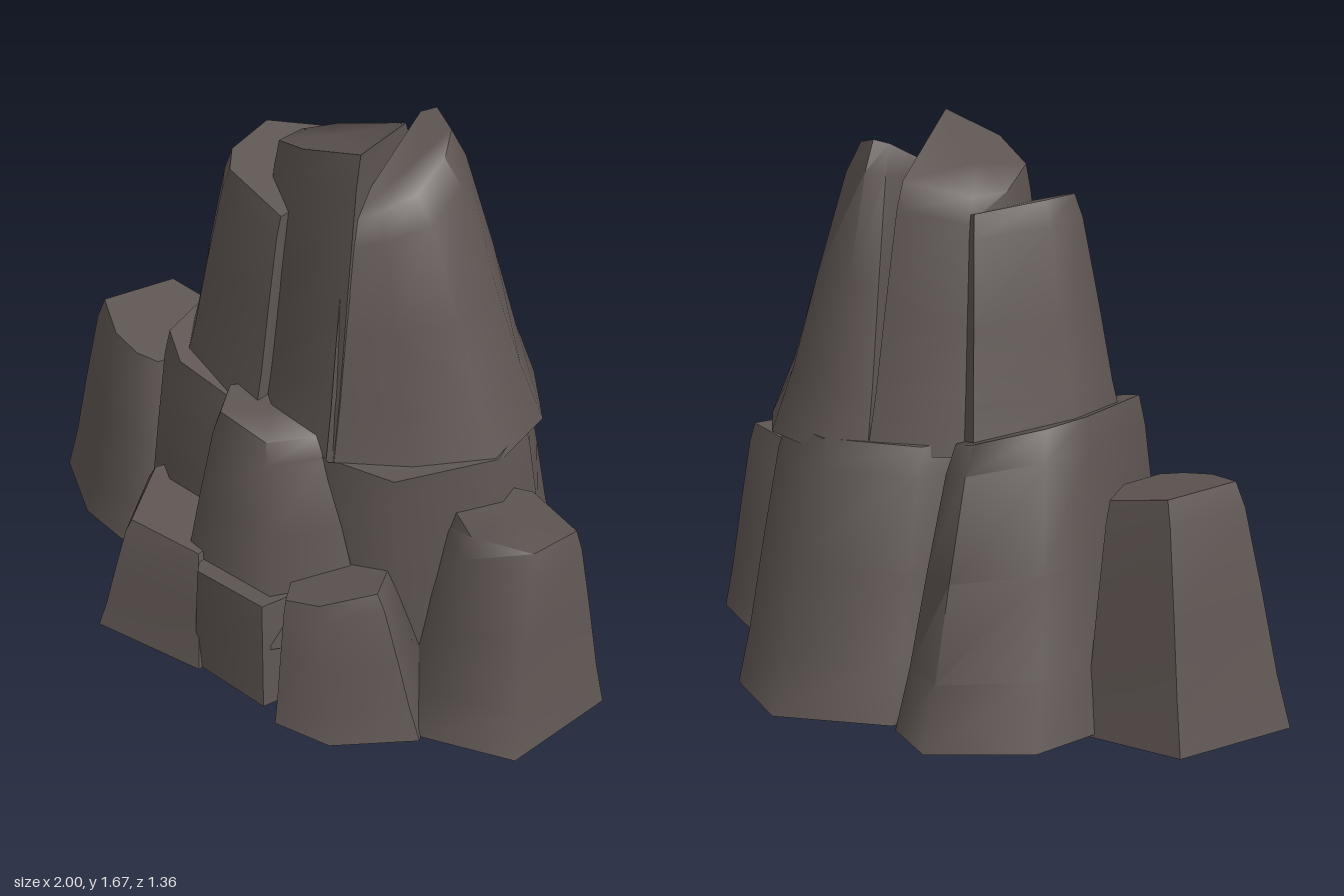
import * as THREE from 'three';
import { toCreasedNormals } from 'three/addons/utils/BufferGeometryUtils.js';

// [share of height, share of the way from base outline to top outline]
const LEVELS = [[0, 0], [0.22, 0.24], [0.55, 0.52], [0.9, 0.84], [1, 1]];

// Loft a boulder from its base outline (x, z, anticlockwise from above) up to
// the same outline fitted into the x and z ranges of a sloping top.
function rockGeometry(outline, { baseY = 0, topX, topZ, topY, tilt }) {
  const n = outline.length, pos = [], idx = [];
  const fit = (axis, value, [lo, hi]) => {
    const values = outline.map(p => p[axis]);
    return THREE.MathUtils.mapLinear(value, Math.min(...values), Math.max(...values), lo, hi);
  };
  const midX = (topX[0] + topX[1]) / 2, midZ = (topZ[0] + topZ[1]) / 2;
  for (const [h, s] of LEVELS) {
    for (const [x, z] of outline) {
      const tx = fit(0, x, topX), tz = fit(1, z, topZ);
      const ty = topY + (tx - midX) * tilt[0] + (tz - midZ) * tilt[1];
      pos.push(x + (tx - x) * s, baseY + (ty - baseY) * h, z + (tz - z) * s);
    }
  }
  // sides
  for (let l = 0; l < LEVELS.length - 1; l++) {
    for (let i = 0; i < n; i++) {
      const a = l * n + i, b = l * n + (i + 1) % n;
      idx.push(a, b, b + n, a, b + n, a + n);
    }
  }
  // caps fan out from the centre of each end ring
  for (const ring of [0, LEVELS.length - 1]) {
    const c = [0, 0, 0], centre = pos.length / 3;
    for (let i = 0; i < n; i++) for (let k = 0; k < 3; k++) c[k] += pos[(ring * n + i) * 3 + k] / n;
    pos.push(...c);
    for (let i = 0; i < n; i++) {
      const a = ring * n + i, b = ring * n + (i + 1) % n;
      if (ring) idx.push(a, b, centre);
      else idx.push(b, a, centre);
    }
  }
  const g = new THREE.BufferGeometry();
  g.setAttribute('position', new THREE.Float32BufferAttribute(pos, 3));
  g.setIndex(idx);
  return toCreasedNormals(g, 1.1);
}

export function createModel() {
  const model = new THREE.Group();
  model.name = 'rockFormation';
  const stone = new THREE.MeshStandardMaterial({ color: 0x5e5552 });
  stone.name = 'darkStone';

  const rock = (name, outline, shape) => {
    const mesh = new THREE.Mesh(rockGeometry(outline, shape), stone);
    mesh.name = name;
    model.add(mesh);
  };

  // large lower boulders
  rock('lowerLeftBoulder',
    [[0.7, 0], [0.66, -0.24], [0.46, -0.54], [0.2, -0.68], [-0.12, -0.53], [-0.2, 0.1], [0.1, 0.42], [0.5, 0.34]],
    { baseY: 0.02, topX: [-0.15, 0.63], topZ: [-0.45, 0.36], topY: 0.775, tilt: [0, -0.05] });
  rock('lowerRightBoulder',
    [[-0.05, -0.4], [-0.13, -0.53], [-0.3, -0.62], [-0.55, -0.43], [-0.6, -0.2], [-0.52, 0.32], [-0.36, 0.42], [0, 0.4]],
    { baseY: 0.01, topX: [-0.46, -0.08], topZ: [-0.35, 0.34], topY: 0.83, tilt: [-0.28, 0] });

  // upper spires
  rock('leftSpire',
    [[0.63, 0.05], [0.61, -0.2], [0.46, -0.37], [0.18, -0.46], [0.07, -0.4], [0.25, 0.35], [0.46, 0.22]],
    { baseY: 0.755, topX: [0.15, 0.32], topZ: [-0.22, 0.2], topY: 1.545, tilt: [0, -0.38] });
  rock('middleSpire',
    [[0.27, 0.34], [0.07, -0.4], [-0.16, -0.27], [-0.22, -0.08], [-0.16, 0.2], [0.02, 0.33]],
    { baseY: 0.755, topX: [-0.175, 0.225], topZ: [-0.24, 0.17], topY: 1.56, tilt: [0.3, 0.25] });
  rock('rightSpire',
    [[0, 0.12], [-0.07, -0.18], [-0.24, -0.31], [-0.45, -0.09], [-0.42, 0.18], [-0.34, 0.29], [-0.02, 0.34]],
    { baseY: 0.78, topX: [-0.3, 0], topZ: [-0.2, 0.22], topY: 1.44, tilt: [-0.25, 0] });

  // side boulders
  rock('leftSideBoulder',
    [[1, -0.02], [0.69, -0.19], [0.5, -0.1], [0.46, 0.25], [0.66, 0.44], [0.94, 0.34]],
    { topX: [0.54, 0.89], topZ: [-0.05, 0.22], topY: 0.62, tilt: [0.05, 0] });
  rock('rightSideBoulder',
    [[-0.42, 0.1], [-0.56, -0.22], [-0.87, -0.2], [-1, 0.18], [-0.78, 0.32], [-0.6, 0.35], [-0.48, 0.32]],
    { topX: [-0.83, -0.49], topZ: [-0.12, 0.23], topY: 0.685, tilt: [-0.17, 0] });

  // front boulders
  rock('frontUpperBoulder',
    [[0.42, 0.36], [0.3, 0.18], [-0.07, 0.14], [-0.26, 0.36], [-0.14, 0.57], [0.24, 0.59]],
    { baseY: 0.2, topX: [-0.12, 0.2], topZ: [0.22, 0.45], topY: 0.825, tilt: [-0.1, 0] });
  rock('frontRightBoulder',
    [[0, 0.45], [-0.05, 0.25], [-0.46, 0.25], [-0.54, 0.41], [-0.38, 0.68], [-0.01, 0.635]],
    { topX: [-0.4, -0.06], topZ: [0.25, 0.59], topY: 0.395, tilt: [-0.13, 0] });
  rock('frontCentreBoulder',
    [[0.32, 0.4], [0.28, 0.25], [-0.1, 0.25], [-0.12, 0.5], [-0.04, 0.62], [0.24, 0.63]],
    { topX: [-0.11, 0.29], topZ: [0.28, 0.6], topY: 0.355, tilt: [0.05, 0] });
  rock('frontLeftBoulder',
    [[0.68, 0.45], [0.58, 0.25], [0.3, 0.22], [0.19, 0.48], [0.31, 0.66], [0.49, 0.63]],
    { topX: [0.21, 0.5], topZ: [0.27, 0.57], topY: 0.42, tilt: [0.22, 0] });

  return model;
}
